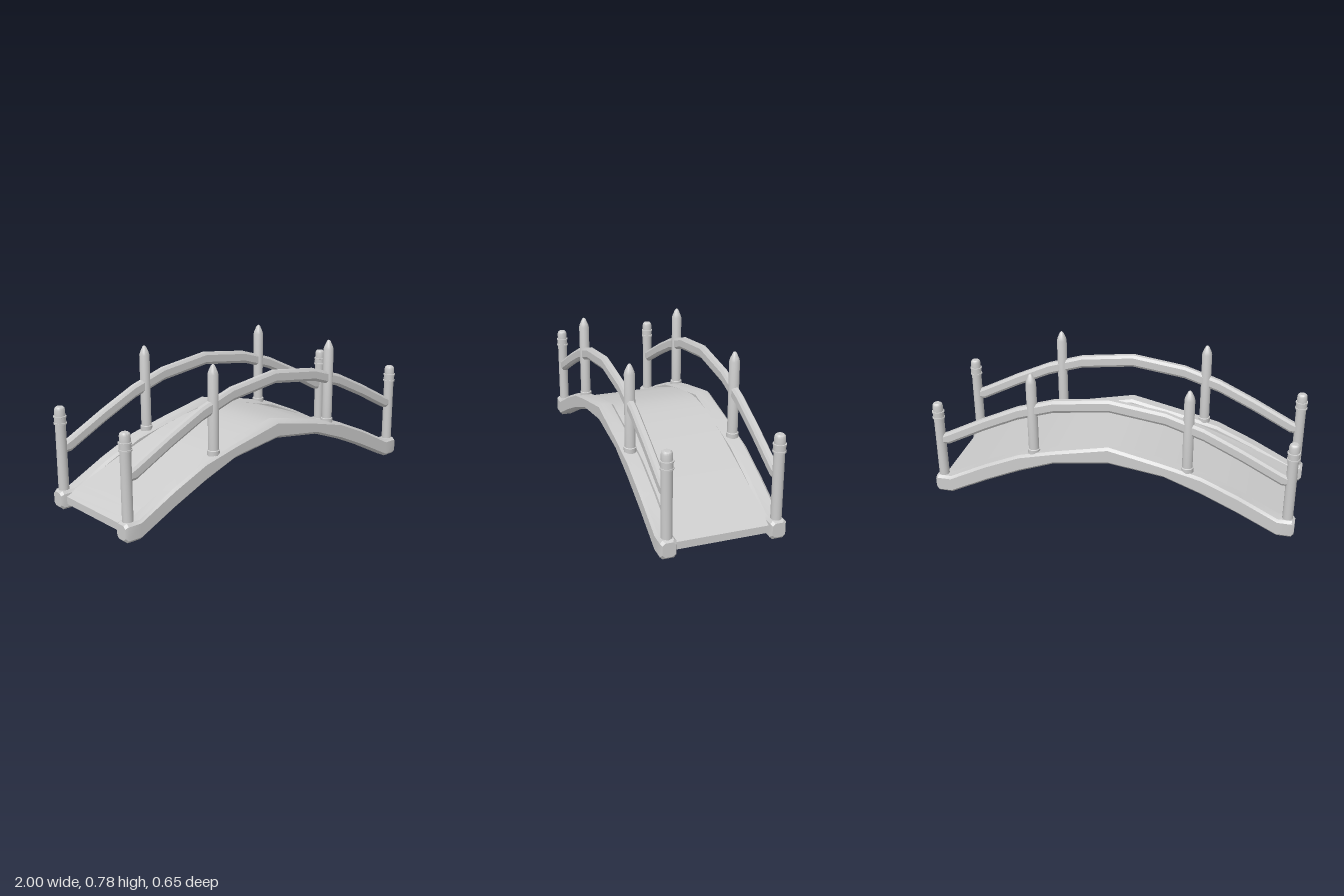
import * as THREE from 'three';
import { toCreasedNormals } from 'three/addons/utils/BufferGeometryUtils.js';

const material = new THREE.MeshStandardMaterial({ color: 0xcccccc });
const SIDE_Z = 0.283;

// Mirror stations [x, bottom, top, halfWidth] given from the centre outwards
function mirrorStations(half) {
  const left = half.slice(1).reverse().map(([x, ...rest]) => [-x, ...rest]);
  return [...left, ...half];
}

// Bar running along x with a chamfered rectangular section at each station
function chamferedBar(stations, chamferZ, chamferY) {
  const position = [], index = [], n = 8;
  for (const [x, y0, y1, w] of stations) {
    const a = w - chamferZ, b = y0 + chamferY, c = y1 - chamferY;
    const ring = [[-a, y0], [a, y0], [w, b], [w, c], [a, y1], [-a, y1], [-w, c], [-w, b]];
    for (const [u, y] of ring) position.push(x, y, -u);
  }
  const last = (stations.length - 1) * n;
  for (let s = 0; s < last; s += n) {
    for (let i = 0; i < n; i++) {
      const a = s + i, b = s + (i + 1) % n;
      index.push(a, b, a + n, b, b + n, a + n);
    }
  }
  for (let i = 1; i < n - 1; i++) {
    index.push(0, i + 1, i, last, last + i, last + i + 1);
  }
  const geometry = new THREE.BufferGeometry();
  geometry.setAttribute('position', new THREE.Float32BufferAttribute(position, 3));
  geometry.setIndex(index);
  return toCreasedNormals(geometry, 0.5);
}

// Round post turned from a profile of [radius, y]
function turned(profile) {
  const points = profile.map(([r, y]) => new THREE.Vector2(r, y));
  return toCreasedNormals(new THREE.LatheGeometry(points, 16), 0.6);
}

// Arched walking surface with a constant thickness
function deckGeometry() {
  const arch = [[-0.97, 0.05], [-0.7, 0.17], [-0.5, 0.245], [-0.3, 0.31], [0, 0.36],
    [0.3, 0.31], [0.5, 0.245], [0.7, 0.17], [0.97, 0.05]];
  const curve = new THREE.SplineCurve(arch.map(([x, y]) => new THREE.Vector2(x, y)));
  const line = curve.getPoints(40);
  const shape = new THREE.Shape([
    ...line.map((p) => new THREE.Vector2(p.x, p.y - 0.02)),
    ...line.reverse().map((p) => new THREE.Vector2(p.x, p.y + 0.02)),
  ]);
  const geometry = new THREE.ExtrudeGeometry(shape, { depth: 0.52, bevelEnabled: false });
  geometry.translate(0, 0, -0.26);
  return toCreasedNormals(geometry, 0.5);
}

export function createModel() {
  const group = new THREE.Group();
  const add = (name, geometry, x = 0, z = 0) => {
    const mesh = new THREE.Mesh(geometry, material);
    mesh.name = name;
    mesh.position.set(x, 0, z);
    group.add(mesh);
  };

  add('deck', deckGeometry());

  // Side beams: arched with flat feet and bevelled ends
  const beam = chamferedBar(mirrorStations([
    [0, 0.312, 0.41, 0.042], [0.3, 0.27, 0.345, 0.042], [0.5, 0.195, 0.295, 0.042],
    [0.7, 0.105, 0.207, 0.042], [0.91, 0, 0.1, 0.042], [0.985, 0, 0.1, 0.042],
    [1, 0.014, 0.09, 0.034],
  ]), 0.014, 0.014);

  // Handrails follow the arch between the end posts
  const rail = chamferedBar(mirrorStations([
    [0, 0.61, 0.68, 0.021], [0.3, 0.57, 0.64, 0.021], [0.5, 0.505, 0.575, 0.021],
    [0.7, 0.41, 0.48, 0.021], [0.91, 0.3, 0.37, 0.021], [0.95, 0.297, 0.352, 0.02],
  ]), 0.01, 0.015);

  // End posts with two thin rings and a rounded cap
  const endPost = turned([
    [0, 0.05], [0.028, 0.05], [0.028, 0.452], [0.034, 0.453], [0.034, 0.461],
    [0.031, 0.462], [0.031, 0.488], [0.034, 0.489], [0.034, 0.496], [0.028, 0.497],
    [0.028, 0.528], [0.025, 0.539], [0.018, 0.545], [0, 0.546],
  ]);

  // Middle posts with a small foot collar and a pointed tip
  const middlePost = turned([
    [0, 0.25], [0.033, 0.25], [0.033, 0.333], [0.028, 0.336], [0.028, 0.728],
    [0.023, 0.745], [0.011, 0.772], [0.005, 0.779], [0, 0.781],
  ]);

  for (const z of [-SIDE_Z, SIDE_Z]) {
    const side = z > 0 ? 'front' : 'back';
    add(side + 'Beam', beam, 0, z);
    add(side + 'Handrail', rail, 0, z);
    for (const sign of [-1, 1]) {
      const end = sign > 0 ? 'Left' : 'Right';
      add(side + end + 'EndPost', endPost, sign * 0.96, z);
      add(side + end + 'MiddlePost', middlePost, sign * 0.42, z);
    }
  }
  return group;
}
